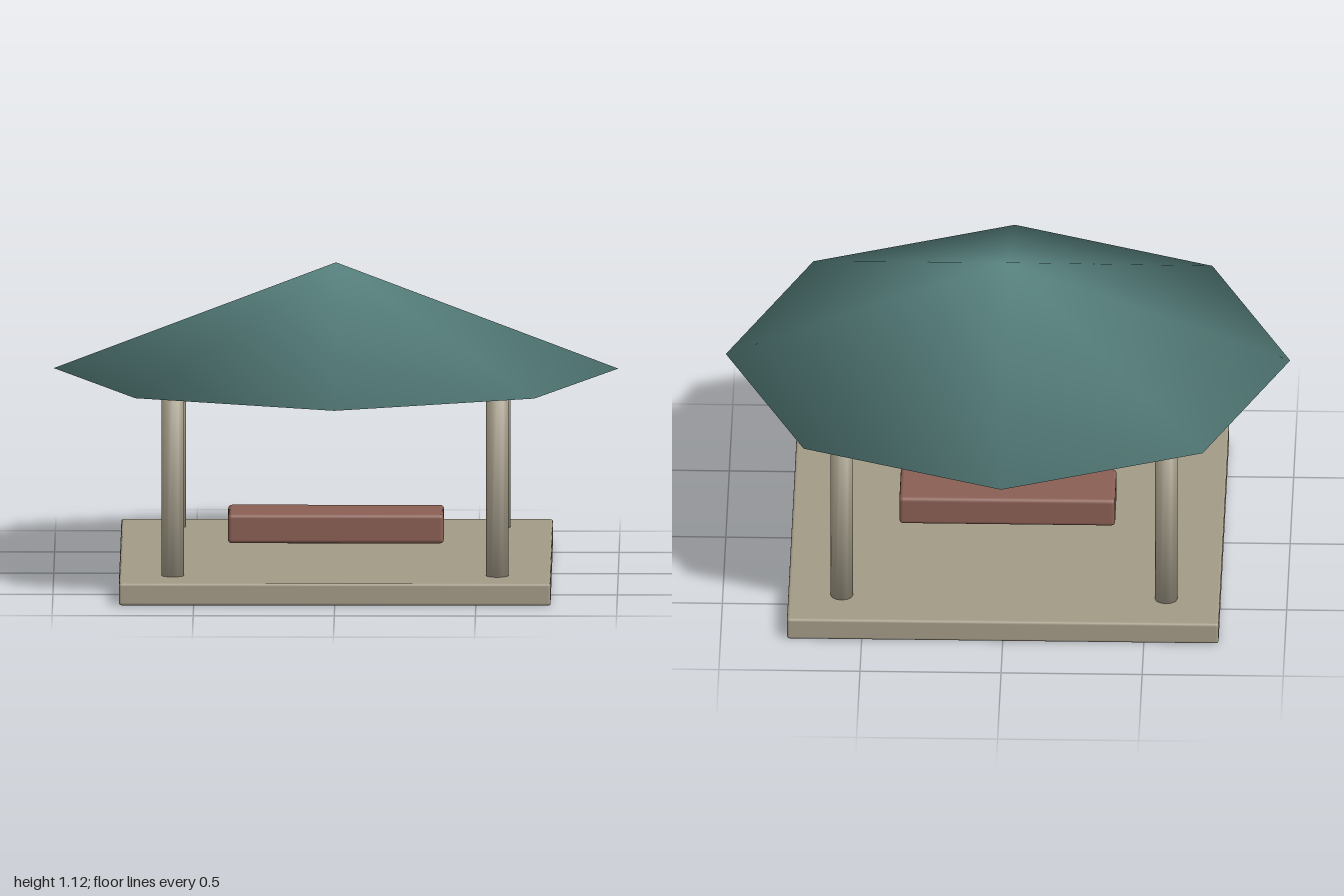
import * as THREE from 'three';
import { RoundedBoxGeometry } from 'three/addons/geometries/RoundedBoxGeometry.js';

const stone = new THREE.MeshStandardMaterial({ color: 0xa39b87 });
const teal = new THREE.MeshStandardMaterial({ color: 0x5a8582 });
const clay = new THREE.MeshStandardMaterial({ color: 0x8a5f54 });

function part(name, geometry, material, x, y, z) {
  const mesh = new THREE.Mesh(geometry, material);
  mesh.name = name;
  mesh.position.set(x, y, z);
  return mesh;
}

// Shade sides and ends as one smooth skin: rim normals point outward, tilted by tilt(y)
function softenRims(geometry, tilt) {
  const p = geometry.attributes.position;
  const n = new THREE.Vector3();
  for (let i = 0; i < p.count; i++) {
    const x = p.getX(i), y = p.getY(i), z = p.getZ(i);
    const r = Math.hypot(x, z);
    if (r < 1e-6) n.set(0, Math.sign(y), 0);
    else n.set(x / r, tilt(y), z / r).normalize();
    geometry.attributes.normal.setXYZ(i, n.x, n.y, n.z);
  }
  return geometry;
}

export function createModel() {
  const model = new THREE.Group();
  model.name = 'pavilion';

  // Square floor slab
  model.add(part('floor', new RoundedBoxGeometry(1.53, 0.08, 1.53, 2, 0.01), stone, 0, 0.04, 0));

  // Four corner posts
  const bottom = 0.06, top = 0.735;
  const postGeometry = softenRims(
    new THREE.CylinderGeometry(0.04, 0.04, top - bottom, 12),
    (y) => 0.6 * Math.sign(y)
  );
  const posts = new THREE.Group();
  posts.name = 'posts';
  for (const x of [-0.575, 0.575]) {
    for (const z of [-0.575, 0.575]) {
      posts.add(part('post', postGeometry, stone, x, (bottom + top) / 2, z));
    }
  }
  model.add(posts);

  // Eight-sided roof, closed underneath
  const roofHeight = 0.38;
  const roofGeometry = softenRims(new THREE.ConeGeometry(1, roofHeight, 8), () => -0.075);
  model.add(part('roof', roofGeometry, teal, 0, 0.735 + roofHeight / 2, 0));

  // Bench block, raised above the floor
  model.add(part('bench', new RoundedBoxGeometry(0.765, 0.105, 0.245, 2, 0.014), clay, 0, 0.177, 0));

  return model;
}
